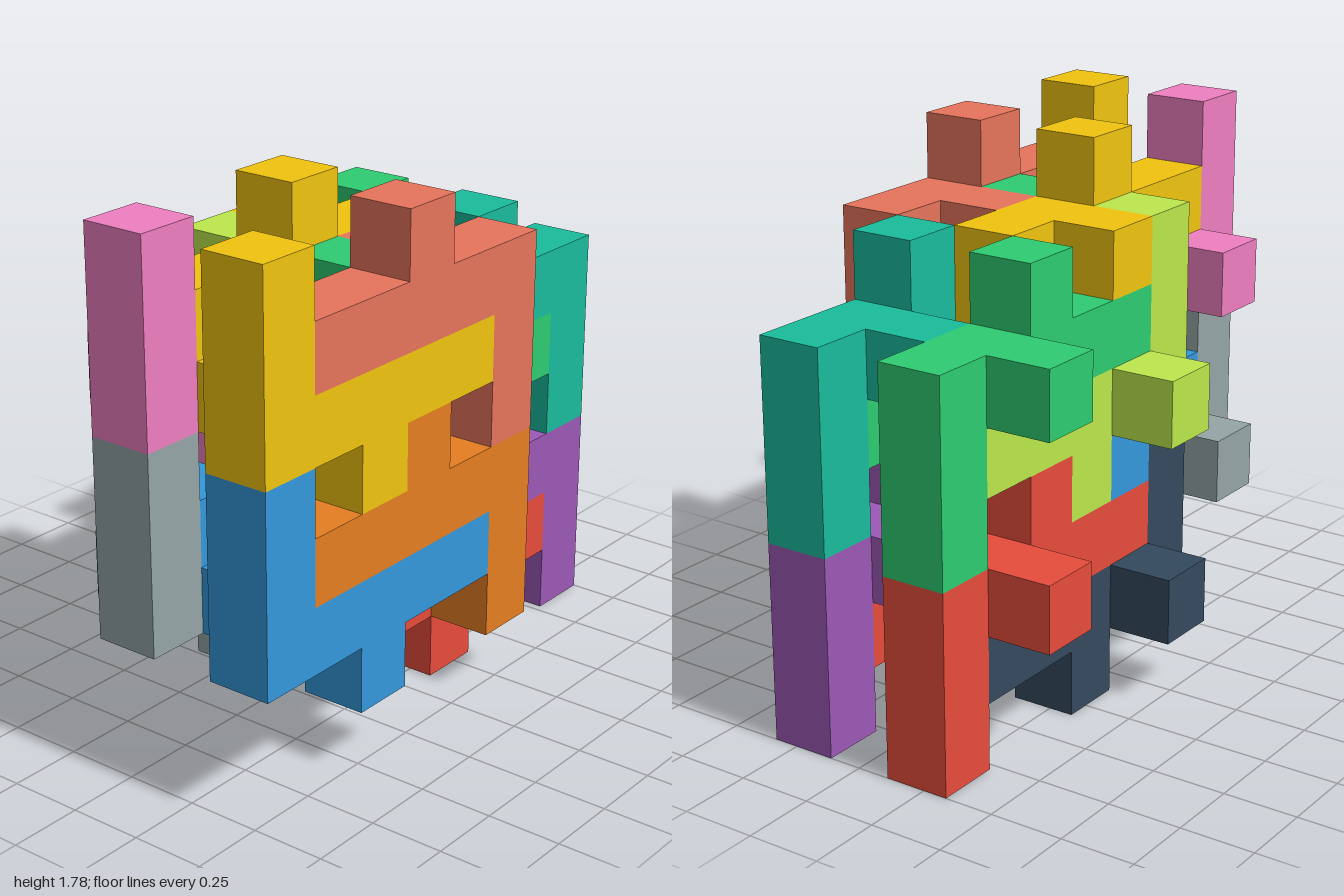
import * as THREE from 'three';

const U = 2 / 9; // edge of one cube cell

// Piece profile in cells (z across, y up), origin at the centre of the corner cell:
// a bar of five, a leg of two below its end, a stud on its middle.
const OUTLINE = [
  [-0.5, -2.5], [0.5, -2.5], [0.5, -0.5], [4.5, -0.5], [4.5, 0.5],
  [2.5, 0.5], [2.5, 1.5], [1.5, 1.5], [1.5, 0.5], [-0.5, 0.5],
];

// Corner cell [x, y, z] of each piece in the upper layer, whether it is turned over,
// and the colours of the upper piece and of its copy three cells below.
const PIECES = [
  { name: 'rightFrontUpright', cell: [2, 6, -1], flip: false, colors: [0xe6745b, 0xe67e22] },
  { name: 'rightFrontInverted', cell: [2, 5, 4], flip: true, colors: [0xf1c40f, 0x3498db] },
  { name: 'rightBackUpright', cell: [1, 5, -4], flip: false, colors: [0x1abc9c, 0x9b59b6] },
  { name: 'rightBackInverted', cell: [1, 4, 1], flip: true, colors: [0x2ecc71, 0xe74c3c] },
  { name: 'middleFrontUpright', cell: [0, 6, -1], flip: false, colors: [0xf1c40f, 0x3498db] },
  { name: 'middleFrontInverted', cell: [0, 5, 4], flip: true, colors: [0xee7fc0, 0x95a5a6] },
  { name: 'leftBackUpright', cell: [-1, 5, -4], flip: false, colors: [0x2ecc71, 0xe74c3c] },
  { name: 'leftBackInverted', cell: [-1, 4, 1], flip: true, colors: [0xbce84c, 0x34495e] },
];

function bodyGeometry() {
  const shape = new THREE.Shape(OUTLINE.map(([z, y]) => new THREE.Vector2(z * U, y * U)));
  const geo = new THREE.ExtrudeGeometry(shape, { depth: U, bevelEnabled: false });
  geo.rotateY(-Math.PI / 2); // profile into the z-y plane
  geo.translate(U / 2, 0, 0);
  return geo;
}

export function createModel() {
  const model = new THREE.Group();
  model.name = 'interlockingBlocks';
  const body = bodyGeometry();
  const peg = new THREE.BoxGeometry(U, U, U);

  for (const { name, cell: [x, y, z], flip, colors } of PIECES) {
    colors.forEach((color, layer) => {
      const material = new THREE.MeshStandardMaterial({ color });
      const piece = new THREE.Group();
      piece.name = name + (layer === 0 ? 'UpperBlock' : 'LowerBlock');

      const bar = new THREE.Mesh(body, material);
      bar.name = 'barWithLegAndStud';

      // single cube standing out to the side, next to the leg
      const sidePeg = new THREE.Mesh(peg, material);
      sidePeg.name = 'sidePeg';
      sidePeg.position.set(-U, 0, U);

      piece.add(bar, sidePeg);
      if (flip) piece.rotation.x = Math.PI;
      piece.position.set(x * U, (y + 0.5 - 3 * layer) * U, z * U);
      model.add(piece);
    });
  }
  return model;
}
